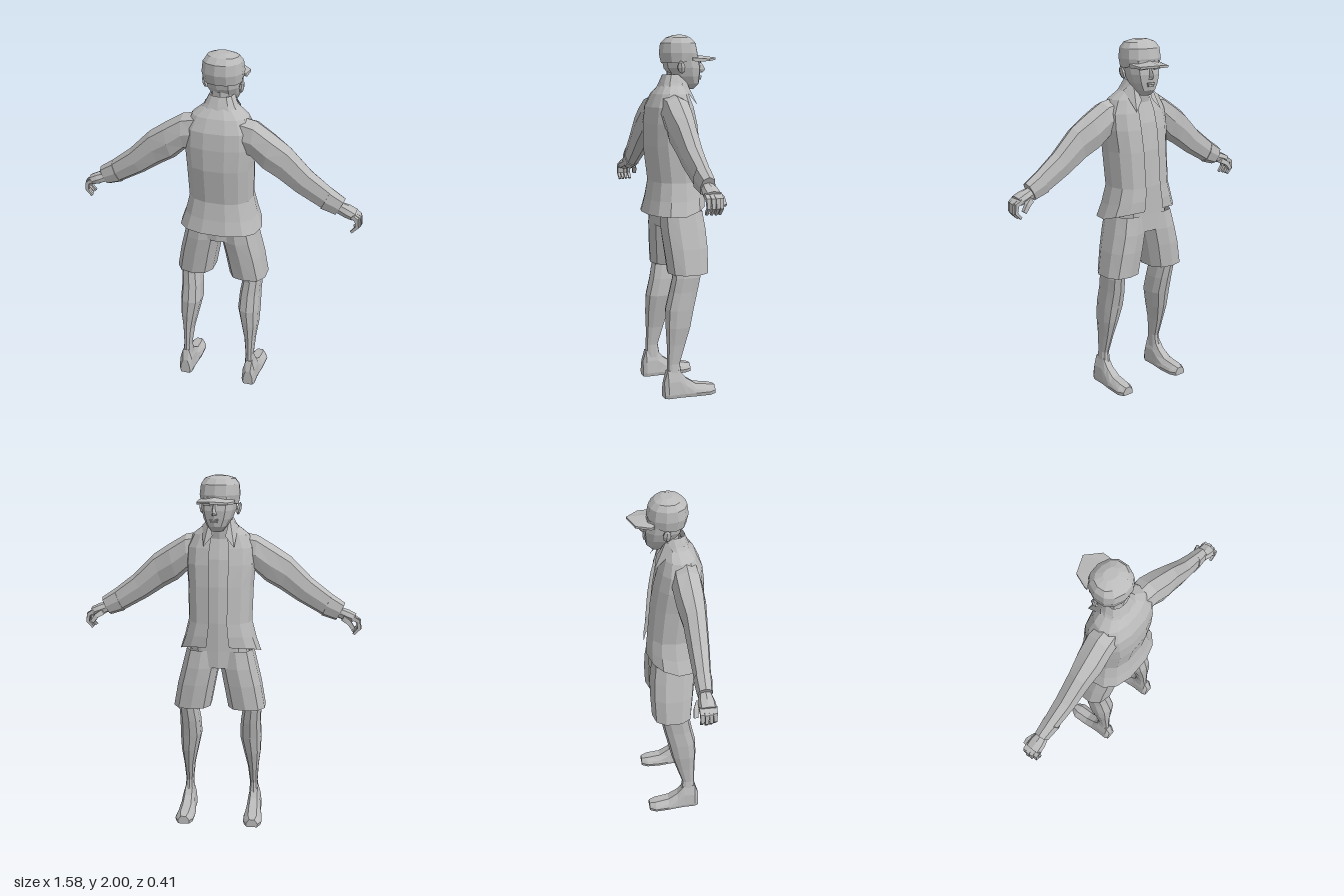
import * as THREE from 'three';

const grey = new THREE.MeshStandardMaterial({ color: 0xbbbbbb, flatShading: true, side: THREE.DoubleSide });
grey.name = 'plain grey';

// Skin a list of cross-sections; faces are turned outwards automatically.
function loft(name, rings, { closed = true, caps = true } = {}) {
  const n = rings[0].length, pts = rings.flat(), idx = [];
  for (let r = 0; r < rings.length - 1; r++) {
    for (let i = 0; i < (closed ? n : n - 1); i++) {
      const a = r * n + i, b = r * n + (i + 1) % n;
      idx.push(a, b, a + n, b, b + n, a + n);
    }
  }
  if (closed && caps) {
    const last = (rings.length - 1) * n;
    for (let i = 1; i < n - 1; i++) idx.push(0, i + 1, i, last, last + i, last + i + 1);
  }
  const mid = pts.reduce((m, p) => m.add(p), new THREE.Vector3()).divideScalar(pts.length);
  const rel = pts.map(p => p.clone().sub(mid));
  let volume = 0;
  for (let i = 0; i < idx.length; i += 3) {
    volume += rel[idx[i]].dot(rel[idx[i + 1]].clone().cross(rel[idx[i + 2]]));
  }
  if (volume < 0) idx.reverse();
  const indexed = new THREE.BufferGeometry().setFromPoints(pts);
  indexed.setIndex(idx);
  const geo = indexed.toNonIndexed();
  geo.computeVertexNormals();
  const mesh = new THREE.Mesh(geo, grey);
  mesh.name = name;
  return mesh;
}

const V = (x, y, z) => new THREE.Vector3(x, y, z);
const power = (v, e) => Math.sign(v) * Math.abs(v) ** e;

// Level section; angle 0 faces -z, and a gap leaves an opening at that side.
function section(y, x0, x1, zBack, zFront, { n = 10, e = 0.8, gap = 0, lift = 0 } = {}) {
  const ring = [], count = gap ? n + 1 : n;
  for (let i = 0; i < count; i++) {
    const a = gap + i / n * (2 * Math.PI - 2 * gap);
    const c = power(Math.cos(a), e);
    ring.push(V((x0 + x1) / 2 + power(Math.sin(a), e) * (x1 - x0) / 2,
      y + lift * Math.max(0, c), (zBack + zFront) / 2 - c * (zBack - zFront) / 2));
  }
  return ring;
}
const centred = (rows, o) => rows.map(([y, w, zb, zf, lift]) => section(y, -w, w, zb, zf, { ...o, lift }));

// Limb section spanned by an upper point, a lower point and a depth range.
function limbSection(s, [tx, ty, bx, by, zf, zb], n = 8) {
  return Array.from({ length: n }, (_, i) => {
    const a = i / n * 2 * Math.PI, k = (1 + power(Math.cos(a), 0.85)) / 2;
    return V(s * (bx + (tx - bx) * k), by + (ty - by) * k, (zf + zb) / 2 + power(Math.sin(a), 0.85) * (zb - zf) / 2);
  });
}

// Finger following a short path in tapering squares.
function finger(name, s, path, r) {
  return loft(name, path.map(([x, y, z], i) => {
    const [px, py] = path[Math.max(0, i - 1)], [qx, qy] = path[Math.min(path.length - 1, i + 1)];
    const len = Math.hypot(qx - px, qy - py), k = r * (1 - 0.15 * i);
    const nx = -(qy - py) / len * k, ny = (qx - px) / len * k;
    return [[1, 1], [-1, 1], [-1, -1], [1, -1]].map(([u, w]) => V(s * (x + nx * u), y + ny * u, z + w * k));
  }));
}

function createArm(s, side) {
  const arm = new THREE.Group();
  arm.name = side + 'Arm';
  const part = (name, rows) => arm.add(loft(name, rows.map(r => limbSection(s, r))));
  part('sleeve', [
    [0.09, 1.69, 0.12, 1.48, 0.01, 0.15], [0.2, 1.67, 0.185, 1.47, 0, 0.16],
    [0.3, 1.61, 0.25, 1.41, 0.01, 0.165], [0.39, 1.55, 0.33, 1.365, 0.03, 0.157],
    [0.51, 1.43, 0.43, 1.3, 0.04, 0.15], [0.64, 1.33, 0.575, 1.22, 0.05, 0.135]]);
  part('cuff', [[0.62, 1.345, 0.565, 1.22, 0.045, 0.142], [0.695, 1.295, 0.645, 1.195, 0.052, 0.132]]);
  part('palm', [[0.66, 1.275, 0.64, 1.215, 0.065, 0.122], [0.72, 1.255, 0.695, 1.195, 0.05, 0.138],
    [0.76, 1.235, 0.735, 1.185, 0.05, 0.14]]);
  [0.062, 0.084, 0.106, 0.128].forEach((z, i) => {
    const d = [0, 0.006, 0.003, -0.006][i];
    arm.add(finger('finger', s, [[0.74, 1.215, z], [0.772 + d, 1.197, z], [0.777 + d, 1.155, z], [0.748 + d, 1.122, z]], 0.012));
  });
  arm.add(finger('thumb', s, [[0.685, 1.215, 0.06], [0.72, 1.195, 0.04], [0.745, 1.16, 0.035]], 0.015));
  return arm;
}

function createLeg(s, side) {
  const leg = new THREE.Group();
  leg.name = side + 'Leg';
  const column = rows => rows.map(([y, x0, x1, zb, zf]) => section(y, s * x0, s * x1, zb, zf));
  leg.add(loft('shortsLeg', column([
    [1.04, 0.0, 0.19, 0.145, -0.1], [0.94, 0.002, 0.215, 0.145, -0.113],
    [0.84, 0.022, 0.24, 0.135, -0.115], [0.7, 0.048, 0.265, 0.12, -0.108]]), { caps: false }));
  leg.add(loft('bareLeg', column([
    [0.88, 0.06, 0.21, 0.1, -0.08], [0.68, 0.13, 0.238, 0.105, -0.06], [0.6, 0.118, 0.235, 0.12, -0.045],
    [0.5, 0.113, 0.238, 0.143, -0.022], [0.4, 0.135, 0.235, 0.145, 0.0], [0.3, 0.158, 0.222, 0.14, 0.03],
    [0.19, 0.17, 0.215, 0.14, 0.065], [0.1, 0.165, 0.225, 0.145, 0.05]])));
  // Foot sections run from heel to toe.
  const shoe = [[0.162, 0.197, 0.03, 0.09], [0.142, 0.197, 0.042, 0.155], [0.075, 0.197, 0.042, 0.155],
    [0.035, 0.197, 0.046, 0.105], [-0.02, 0.197, 0.053, 0.068], [-0.1, 0.2, 0.054, 0.056], [-0.137, 0.2, 0.034, 0.046]];
  leg.add(loft('shoe', shoe.map(([z, x, w, h]) =>
    [[-0.9, 0], [0.9, 0], [1, 0.02], [0.85, h * 0.6], [0.45, h], [-0.45, h], [-0.85, h * 0.6], [-1, 0.02]]
      .map(([u, y]) => V(s * (x + u * w), y, z)))));
  return leg;
}

function createHead() {
  const head = new THREE.Group();
  head.name = 'head';
  head.add(loft('face', centred([
    [1.705, 0.03, -0.025, -0.082], [1.735, 0.053, 0, -0.112], [1.775, 0.076, 0.05, -0.118],
    [1.82, 0.09, 0.085, -0.122], [1.89, 0.096, 0.1, -0.11]])));
  head.add(loft('cap', centred([
    [1.848, 0.104, 0.1, -0.1, 0.025], [1.9, 0.112, 0.112, -0.106], [1.955, 0.106, 0.105, -0.095],
    [1.985, 0.086, 0.075, -0.065], [2, 0.04, 0.03, -0.03]], { n: 12, e: 0.9 })));
  // Peak sections run from side to side.
  head.add(loft('capPeak', [[-0.1, -0.06, -0.075], [-0.085, -0.06, -0.155], [0, -0.08, -0.207], [0.085, -0.06, -0.155], [0.1, -0.06, -0.075]]
    .map(([x, root, tip]) => {
      const yr = 1.895 - Math.abs(x) * 0.2, yt = 1.878 - Math.abs(x) * 0.1;
      return [V(x, yr, root), V(x, yt, tip), V(x, yt - 0.012, tip), V(x, yr - 0.014, root)];
    })));
  head.add(loft('nose', [[1.855, 0.01, -0.124], [1.815, 0.016, -0.15], [1.797, 0.022, -0.135]]
    .map(([y, w, z]) => [V(-w, y, -0.105), V(0, y, z), V(w, y, -0.105)])));
  const box = (name, w, h, d, x, y, z) => {
    const m = new THREE.Mesh(new THREE.BoxGeometry(w, h, d), grey);
    m.name = name;
    m.position.set(x, y, z);
    head.add(m);
    return m;
  };
  box('upperLip', 0.042, 0.009, 0.02, 0, 1.774, -0.115);
  box('lowerLip', 0.036, 0.009, 0.02, 0, 1.762, -0.112);
  for (const s of [-1, 1]) {
    box('brow', 0.045, 0.012, 0.02, s * 0.04, 1.853, -0.106).rotation.y = s * -0.3;
    const ear = new THREE.Mesh(new THREE.SphereGeometry(1, 6, 4), grey);
    ear.name = 'ear';
    ear.scale.set(0.014, 0.035, 0.024);
    ear.position.set(s * 0.106, 1.825, 0.005);
    ear.rotation.set(0.15, 0, -s * 0.2);
    head.add(ear);
  }
  head.rotation.y = -0.17;
  return head;
}

export function createModel() {
  const model = new THREE.Group();
  model.name = 'standingMan';

  // Torso clothing: shorts waist, shirt and open jacket
  model.add(loft('shortsWaist', centred([[0.945, 0.17, 0.14, -0.105], [1.08, 0.175, 0.14, -0.1]])));
  model.add(loft('shirt', centred([
    [1.04, 0.175, 0.15, -0.102], [1.2, 0.165, 0.15, -0.1], [1.4, 0.17, 0.18, -0.085],
    [1.55, 0.17, 0.17, -0.06], [1.66, 0.13, 0.14, -0.025], [1.715, 0.07, 0.09, -0.01]], { n: 12 })));
  model.add(loft('jacket', centred([
    [1.02, 0.232, 0.207, -0.125, 0.05], [1.1, 0.205, 0.188, -0.126, 0.03], [1.2, 0.18, 0.172, -0.118],
    [1.4, 0.185, 0.197, -0.102], [1.52, 0.195, 0.195, -0.083], [1.61, 0.19, 0.183, -0.06],
    [1.68, 0.155, 0.15, -0.035], [1.735, 0.085, 0.105, -0.015]], { n: 13, gap: 0.2 }), { closed: false }));

  // Collar and its two points
  model.add(loft('collar', centred([[1.7, 0.115, 0.125, -0.02], [1.74, 0.088, 0.11, -0.025], [1.785, 0.066, 0.092, -0.03]],
    { gap: 0.45 }), { closed: false }));
  for (const s of [-1, 1]) {
    model.add(loft('collarPoint', [
      [V(s * 0.1, 1.73, 0.02), V(s * 0.085, 1.62, -0.078)],
      [V(s * 0.055, 1.77, -0.012), V(s * 0.035, 1.68, -0.06)]], { closed: false }));
  }

  // Neck and head
  model.add(loft('neck', centred([[1.66, 0.07, 0.08, -0.03], [1.74, 0.058, 0.07, -0.04], [1.82, 0.06, 0.07, -0.05]], { n: 8 })));
  model.add(createHead());

  // Limbs
  for (const [s, side] of [[1, 'left'], [-1, 'right']]) {
    model.add(createArm(s, side));
    model.add(createLeg(s, side));
  }
  return model;
}
